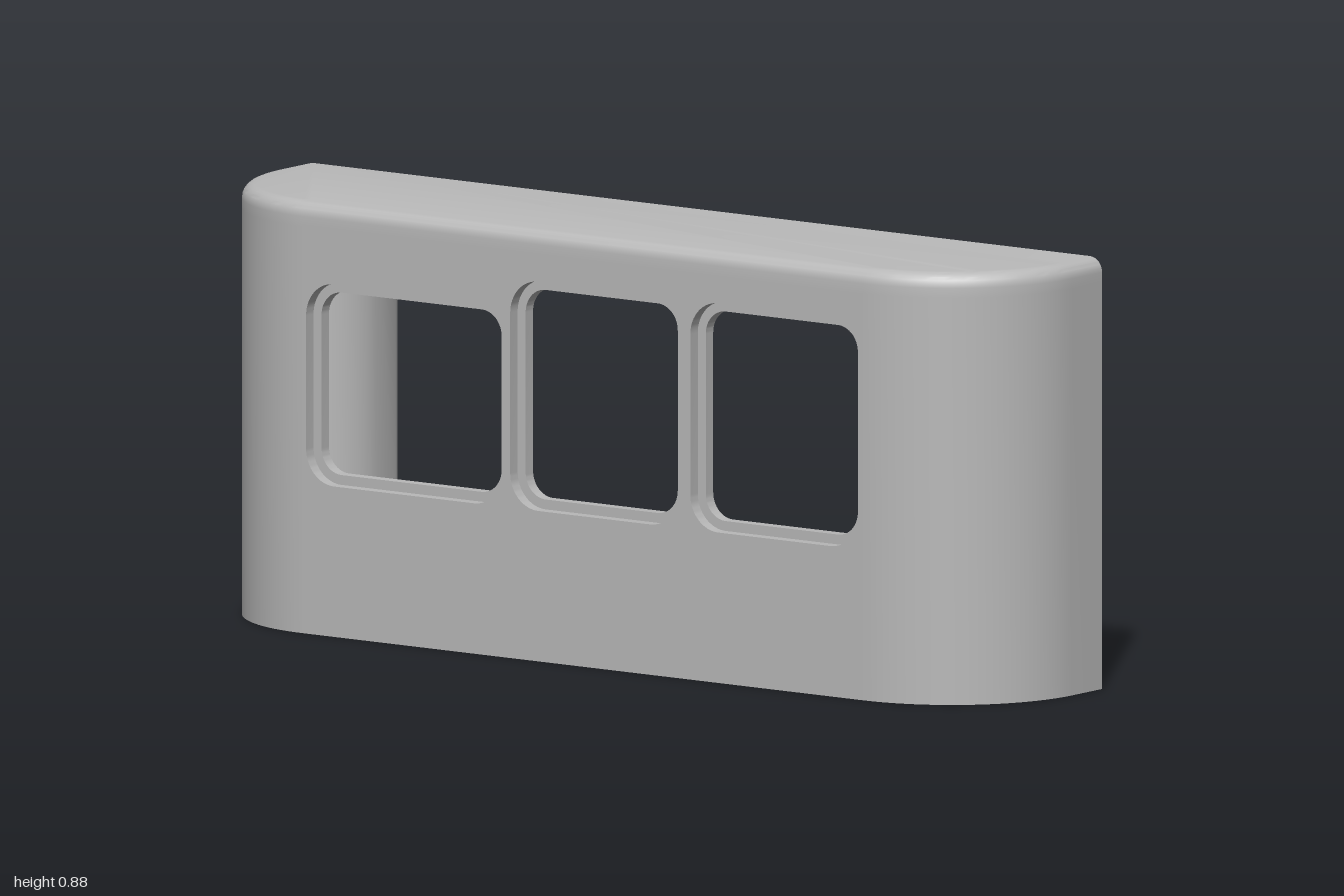
import * as THREE from 'three';
import { toCreasedNormals } from 'three/addons/utils/BufferGeometryUtils.js';

const FRONT = 0.2;            // x of the open side
const CX = 0.1, CZ = 0.7;     // centre of the rounded plan corners
const R = 0.3, WALL = 0.05;
const CEILING = 0.825, TOP = 0.875, ROUND = 0.03;
const CREASE = 0.5;

// Points of an arc in plan (x, z)
function arc(cx, cz, r, from, to, n = 24) {
  return Array.from({ length: n + 1 }, (_, i) => {
    const a = from + (to - from) * i / n;
    return new THREE.Vector2(cx + r * Math.cos(a), cz + r * Math.sin(a));
  });
}

// Extrude a plan outline upwards; side mirrors it to +z or -z
function upright(points, side, y0, y1, hole) {
  const place = (list) => list.map((p) => new THREE.Vector2(p.x, -side * p.y));
  const shape = new THREE.Shape(place(points));
  if (hole) shape.holes.push(new THREE.Path(place(hole)));
  const geo = new THREE.ExtrudeGeometry(shape, { depth: y1 - y0, bevelEnabled: false });
  geo.rotateX(-Math.PI / 2).translate(0, y0, 0);
  return toCreasedNormals(geo, CREASE);
}

function roundedRect(path, z0, z1, y0, y1, r) {
  path.moveTo(z0 + r, y0);
  path.lineTo(z1 - r, y0);
  path.absarc(z1 - r, y0 + r, r, -Math.PI / 2, 0);
  path.lineTo(z1, y1 - r);
  path.absarc(z1 - r, y1 - r, r, 0, Math.PI / 2);
  path.lineTo(z0 + r, y1);
  path.absarc(z0 + r, y1 - r, r, Math.PI / 2, Math.PI);
  path.lineTo(z0, y0 + r);
  path.absarc(z0 + r, y0 + r, r, Math.PI, Math.PI * 1.5);
  return path;
}

// One layer of the flat back wall, pierced by windows enlarged by a margin
function backLayer(xFront, thickness, margin) {
  const windows = [[0.29, 0.67, 0.75], [-0.16, 0.22, 0.75], [-0.67, -0.22, 0.695]];
  const shape = new THREE.Shape();
  shape.moveTo(-CZ, 0);
  shape.lineTo(CZ, 0);
  shape.lineTo(CZ, CEILING);
  shape.lineTo(-CZ, CEILING);
  shape.closePath();
  for (const [z0, z1, y1] of windows) {
    shape.holes.push(roundedRect(new THREE.Path(),
      z0 - margin, z1 + margin, 0.325 - margin, y1 + margin, 0.05 + margin));
  }
  const geo = new THREE.ExtrudeGeometry(shape, { depth: thickness, bevelEnabled: false, curveSegments: 8 });
  geo.rotateY(-Math.PI / 2).translate(xFront, 0, 0);
  return toCreasedNormals(geo, CREASE);
}

// Top plate with a rounded outer edge, lofted from inset outlines
function topPlate() {
  const outline = (inset) => [
    new THREE.Vector2(FRONT, -1 + inset),
    ...arc(CX, -CZ, R - inset, -Math.PI / 2, -Math.PI),
    ...arc(CX, CZ, R - inset, Math.PI, Math.PI / 2),
    new THREE.Vector2(FRONT, 1 - inset),
  ];
  const levels = [[0, CEILING]];
  const steps = 6;
  for (let i = 0; i <= steps; i++) {
    const a = i / steps * Math.PI / 2;
    levels.push([ROUND * (1 - Math.cos(a)), TOP - ROUND + ROUND * Math.sin(a)]);
  }
  const positions = [], index = [];
  let n = 0;
  for (const [inset, y] of levels) {
    const ring = outline(inset);
    n = ring.length;
    for (const p of ring) positions.push(p.x, y, p.y);
  }
  for (let k = 0; k < levels.length - 1; k++) {
    for (let i = 0; i < n; i++) {
      const j = (i + 1) % n, a = k * n, b = a + n;
      index.push(a + i, a + j, b + j, a + i, b + j, b + i);
    }
  }
  const last = (levels.length - 1) * n;
  for (let i = 1; i < n - 1; i++) {
    index.push(last, last + i, last + i + 1);
    index.push(0, i + 1, i);
  }
  const geo = new THREE.BufferGeometry();
  geo.setAttribute('position', new THREE.Float32BufferAttribute(positions, 3));
  geo.setIndex(index);
  return toCreasedNormals(geo, CREASE);
}

export function createModel() {
  const model = new THREE.Group();
  model.name = 'windowedCover';
  const grey = new THREE.MeshStandardMaterial({ color: 0xb8b8b8 });
  grey.name = 'grey plastic';
  const add = (name, geo) => {
    const mesh = new THREE.Mesh(geo, grey);
    mesh.name = name;
    model.add(mesh);
  };

  add('topPlate', topPlate());

  // Back wall: wider openings outside leave a ledge around each window
  add('backWallInner', backLayer(-0.15, 0.025, 0));
  add('backWallOuter', backLayer(-0.175, 0.025, 0.02));

  // Rounded end wall in plan
  const endWall = [
    new THREE.Vector2(FRONT, 1),
    ...arc(CX, CZ, R, Math.PI / 2, Math.PI),
    ...arc(CX, CZ, R - WALL, Math.PI, Math.PI / 2),
    new THREE.Vector2(FRONT, 1 - WALL),
  ];

  // Screw post in plan: flat front, round back, narrow slot beside the wall
  const post = [
    new THREE.Vector2(FRONT, 0.93),
    new THREE.Vector2(FRONT, 0.76),
    new THREE.Vector2(0.17, 0.743),
    ...arc(0.097, 0.863, 0.125, -Math.PI / 2, -Math.PI * 1.2, 18),
    new THREE.Vector2(0.05, 0.96),
    new THREE.Vector2(0.1, 0.96),
    new THREE.Vector2(0.1, 0.93),
  ];
  const screwHole = arc(0.1, 0.86, 0.053, 0, Math.PI * 2, 24).slice(0, -1);

  for (const [label, side] of [['front', 1], ['rear', -1]]) {
    add(label + 'EndWall', upright(endWall, side, 0, CEILING));
    add(label + 'ScrewPost', upright(post, side, 0.19, CEILING, screwHole));
  }
  return model;
}
